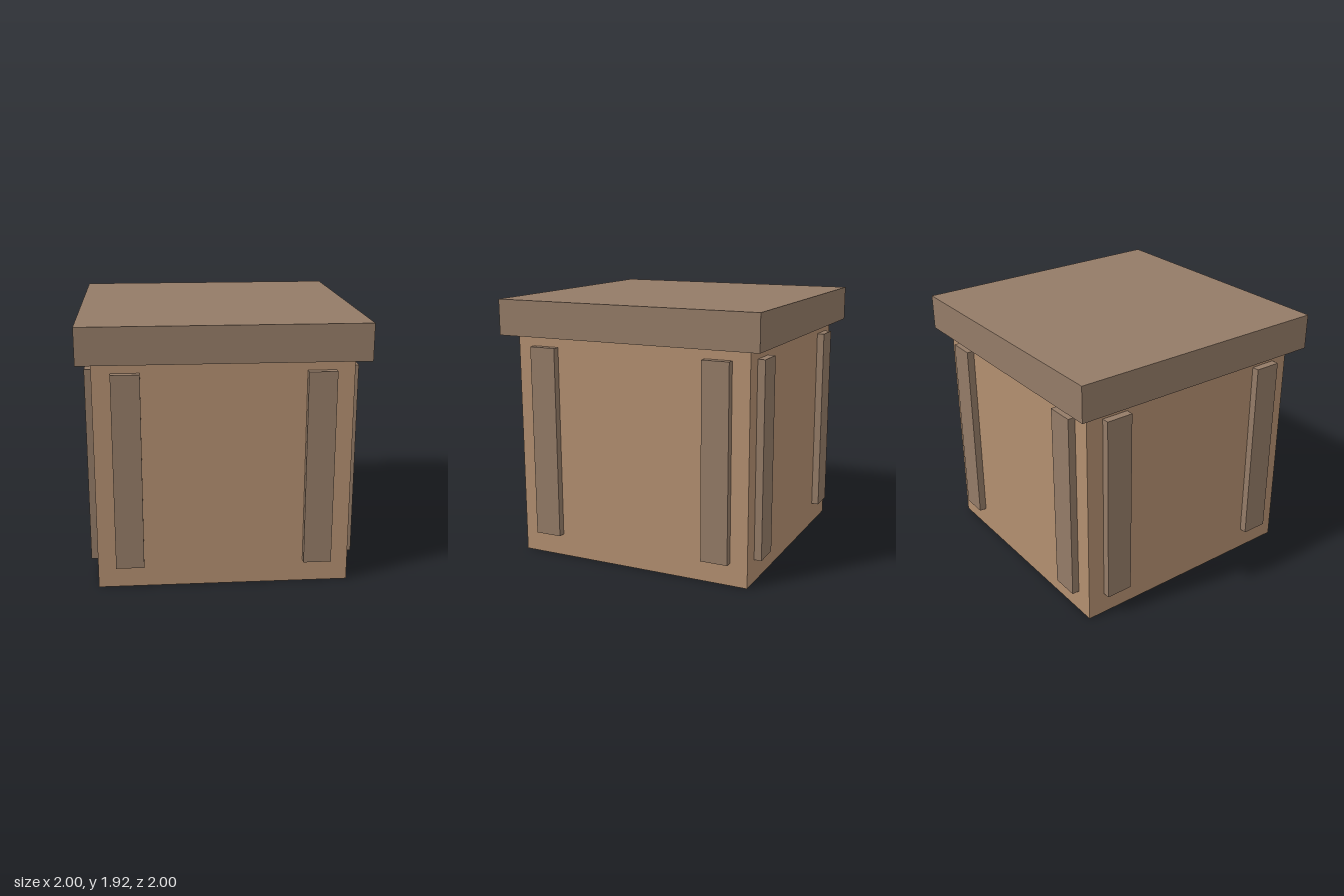
import * as THREE from 'three';

export function createModel() {
  const wood = new THREE.MeshStandardMaterial({ color: 0xb38f70 });
  wood.name = 'light wood';
  const trim = new THREE.MeshStandardMaterial({ color: 0x947b67 });
  trim.name = 'dark wood';

  const model = new THREE.Group();
  model.name = 'crate';

  const addBox = (parent, name, material, size, position) => {
    const mesh = new THREE.Mesh(new THREE.BoxGeometry(...size), material);
    mesh.name = name;
    mesh.position.set(...position);
    parent.add(mesh);
  };

  // Body and overhanging lid
  addBox(model, 'body', wood, [1.804, 1.657, 1.804], [0, 0.8285, 0]);
  addBox(model, 'lid', trim, [2, 0.26, 2], [0, 1.787, 0]);

  // Two upright slats on each of the four sides
  ['front', 'left', 'back', 'right'].forEach((side, i) => {
    const slats = new THREE.Group();
    slats.name = `${side}Slats`;
    slats.rotation.y = i * Math.PI / 2;
    for (const s of [-1, 1]) {
      addBox(slats, 'slat', trim, [0.2, 1.414, 0.066], [s * 0.673, 0.873, 0.923]);
    }
    model.add(slats);
  });

  return model;
}
